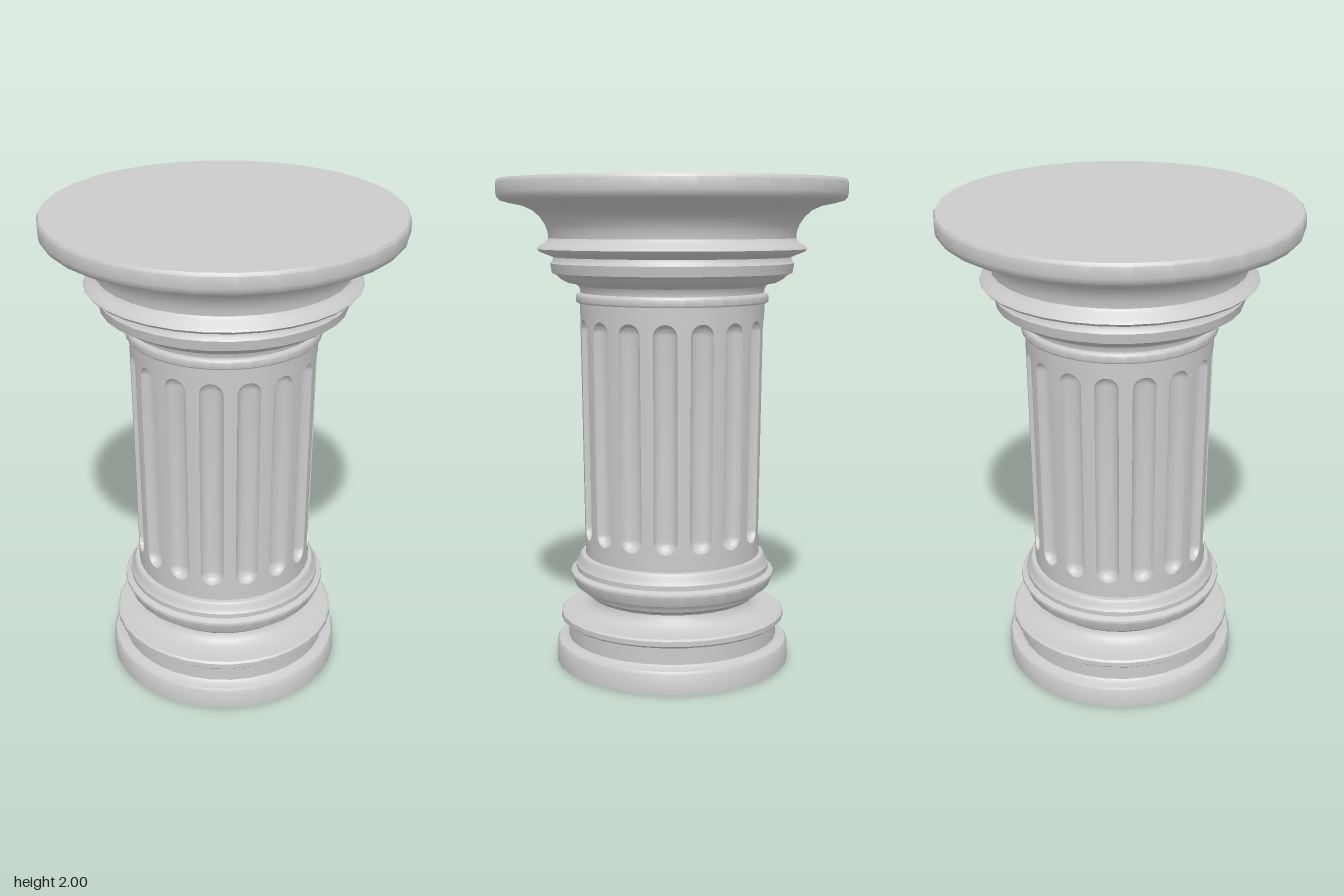
import * as THREE from 'three';
import { toCreasedNormals } from 'three/addons/utils/BufferGeometryUtils.js';

const SIDES = 32;
const FLUTES = 16;
const material = new THREE.MeshStandardMaterial({ color: 0xcccccc, side: THREE.DoubleSide });

const FLUTE_BOTTOM = 0.53, FLUTE_TOP = 1.44, FLUTE_HALF = 0.047, FLUTE_DEPTH = 0.8;
const shaftRadius = (y) => 0.365 + 0.013 * (y - 0.46) / 1.04;

// Turned part from [radius, height] pairs, bottom to top
function turned(name, profile) {
  const points = profile.map(([r, y]) => new THREE.Vector2(r, y));
  const geometry = new THREE.LatheGeometry(points, SIDES);
  const mesh = new THREE.Mesh(toCreasedNormals(geometry, 0.6), material);
  mesh.name = name;
  return mesh;
}

// Distance to a regular polygon's side at a given angle
function polygonRadius(radius, angle) {
  const step = (2 * Math.PI) / SIDES;
  const local = ((angle % step) + step) % step - step / 2;
  return radius * Math.cos(step / 2) / Math.cos(local);
}

// Shaft wall with round-ended flutes; each row narrows them near the ends
function flutedWall() {
  const CUTS = 10, END_ROWS = 8;
  const rows = [];
  for (let i = 0; i <= END_ROWS; i++) {
    const a = (i / END_ROWS) * Math.PI / 2;
    rows.push([FLUTE_BOTTOM + FLUTE_HALF * (1 - Math.cos(a)), Math.sin(a)]);
  }
  for (let i = END_ROWS; i >= 0; i--) {
    const a = (i / END_ROWS) * Math.PI / 2;
    rows.push([FLUTE_TOP - FLUTE_HALF * (1 - Math.cos(a)), Math.sin(a)]);
  }

  const positions = [], indices = [];
  const columns = FLUTES * (CUTS + 2);
  const spacing = (2 * Math.PI) / FLUTES;
  for (const [y, open] of rows) {
    const radius = shaftRadius(y), half = FLUTE_HALF * open;
    const add = (angle, depth) => {
      const r = polygonRadius(radius, angle) - depth;
      positions.push(r * Math.sin(angle), y, r * Math.cos(angle));
    };
    for (let f = 0; f < FLUTES; f++) {
      add(f * spacing, 0); // middle of the land
      for (let c = 0; c <= CUTS; c++) {
        const a = (c / CUTS) * Math.PI;
        const angle = (f + 0.5) * spacing - Math.cos(a) * half / radius;
        add(angle, Math.sin(a) * half * FLUTE_DEPTH);
      }
    }
  }
  for (let j = 0; j < rows.length - 1; j++) {
    for (let i = 0; i < columns; i++) {
      const a = j * columns + i, b = j * columns + (i + 1) % columns;
      indices.push(a, b, b + columns, a, b + columns, a + columns);
    }
  }
  const geometry = new THREE.BufferGeometry();
  geometry.setAttribute('position', new THREE.Float32BufferAttribute(positions, 3));
  geometry.setIndex(indices);
  const mesh = new THREE.Mesh(toCreasedNormals(geometry, 0.6), material);
  mesh.name = 'flutedShaft';
  return mesh;
}

export function createModel() {
  const pedestal = new THREE.Group();
  pedestal.name = 'pedestal';

  // Plinth with its cove
  pedestal.add(turned('plinth', [
    [0, 0], [0.488, 0], [0.488, 0.08], [0.48, 0.093], [0.45, 0.097], [0.438, 0.107],
    [0.438, 0.18], [0.46, 0.182], [0.469, 0.19], [0.469, 0.21], [0.46, 0.217],
    [0.41, 0.217], [0.37, 0.224], [0.343, 0.238], [0.328, 0.258], [0.325, 0.28],
  ]));

  // Stepped rings under the shaft
  pedestal.add(turned('baseMoulding', [
    [0.325, 0.28], [0.347, 0.28], [0.358, 0.292], [0.37, 0.3], [0.373, 0.31], [0.388, 0.328],
    [0.41, 0.333], [0.428, 0.375], [0.426, 0.385], [0.404, 0.395], [0.404, 0.415],
    [0.392, 0.43], [0.39, 0.448], [0.382, 0.458], [0.365, 0.46],
  ]));

  // Shaft: plain ends and the fluted middle
  pedestal.add(turned('shaftFoot', [[0.365, 0.46], [shaftRadius(FLUTE_BOTTOM), FLUTE_BOTTOM]]));
  pedestal.add(flutedWall());
  pedestal.add(turned('shaftNeck', [[shaftRadius(FLUTE_TOP), FLUTE_TOP], [0.378, 1.505]]));

  // Collar ring
  pedestal.add(turned('collar', [
    [0.378, 1.505], [0.39, 1.506], [0.394, 1.512], [0.394, 1.535], [0.388, 1.544],
    [0.376, 1.546], [0.377, 1.56], [0.385, 1.575], [0.402, 1.583],
  ]));

  // Capital mouldings
  pedestal.add(turned('capital', [
    [0.402, 1.583], [0.43, 1.588], [0.455, 1.602], [0.47, 1.618], [0.49, 1.626],
    [0.497, 1.665], [0.487, 1.676], [0.484, 1.69], [0.51, 1.7], [0.54, 1.712],
    [0.549, 1.722], [0.54, 1.735], [0.515, 1.748], [0.503, 1.765], [0.505, 1.79],
    [0.516, 1.82], [0.536, 1.85], [0.565, 1.876], [0.605, 1.894], [0.66, 1.905],
  ]));

  // Round top slab
  pedestal.add(turned('topSlab', [
    [0.66, 1.905], [0.695, 1.915], [0.707, 1.928], [0.711, 1.945], [0.711, 1.988],
    [0.703, 2], [0, 2],
  ]));

  return pedestal;
}
